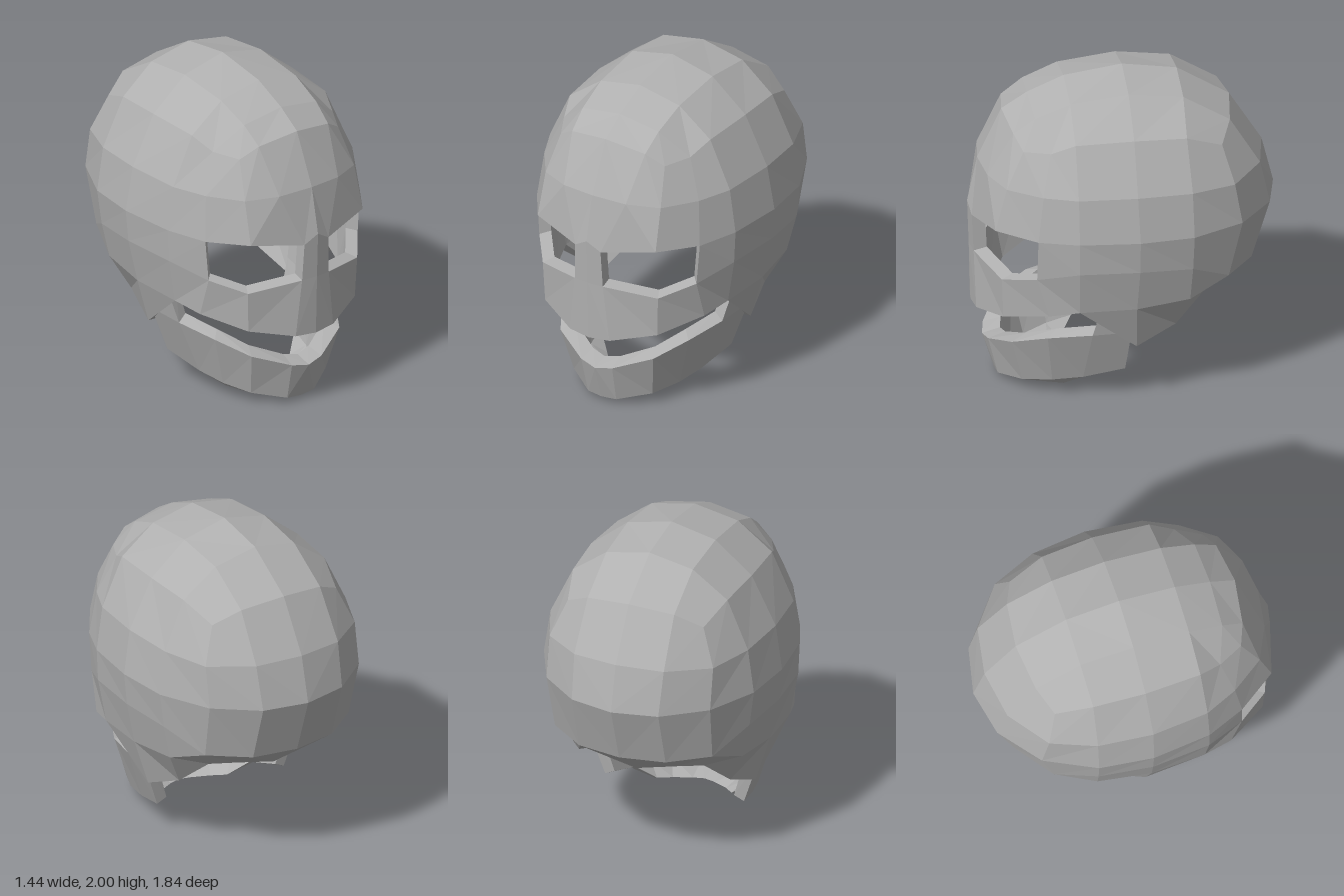
import * as THREE from 'three';

const bone = new THREE.MeshStandardMaterial({ color: 0xb0b0b0, flatShading: true });
bone.name = 'boneGrey';

// Faces of a grid of points; skip(row, column) leaves openings, repeated points collapse.
function gridFaces(rows, skip = () => false) {
  const faces = [];
  for (let i = 0; i + 1 < rows.length; i++) {
    for (let j = 0; j + 1 < rows[i].length; j++) {
      if (skip(i, j)) continue;
      const quad = [rows[i][j], rows[i + 1][j], rows[i + 1][j + 1], rows[i][j + 1]];
      const face = quad.filter((p, k) => quad.findIndex((q) => q.join() === p.join()) === k);
      if (face.length > 2) faces.push(face);
    }
  }
  return faces;
}

// Mesh from half of the faces (+x side), mirrored to the other side.
function mirroredMesh(name, faces) {
  const pos = [];
  for (const f of faces) {
    for (let k = 1; k + 1 < f.length; k++) {
      const tri = [f[0], f[k], f[k + 1]];
      tri.forEach((p) => pos.push(...p));
      [tri[0], tri[2], tri[1]].forEach(([x, y, z]) => pos.push(-x, y, z));
    }
  }
  const geo = new THREE.BufferGeometry();
  geo.setAttribute('position', new THREE.Float32BufferAttribute(pos, 3));
  geo.computeVertexNormals();
  const mesh = new THREE.Mesh(geo, bone);
  mesh.name = name;
  return mesh;
}

// Inner wall plus the rims along every open edge.
function liningFaces(faces, inset) {
  const edges = new Map();
  const lining = [];
  for (const f of faces) {
    lining.push(f.map(inset).reverse());
    f.forEach((a, k) => {
      const b = f[(k + 1) % f.length];
      edges.set(a.join() + '|' + b.join(), [a, b]);
    });
  }
  for (const [a, b] of edges.values()) {
    if (edges.has(b.join() + '|' + a.join()) || (a[0] === 0 && b[0] === 0)) continue;
    lining.push([b, a, inset(a), inset(b)]);
  }
  return lining;
}

export function createModel() {
  const group = new THREE.Group();
  group.name = 'skullMask';

  // Half rings from the front centre round the side to the back centre
  const crown = [[0, 1.755, 0.715], [0.26, 1.715, 0.68], [0.37, 1.645, 0.635], [0.45, 1.66, 0.48], [0.5, 1.73, 0.34],
    [0.52, 1.745, -0.01], [0.5, 1.73, -0.33], [0.44, 1.64, -0.55], [0.28, 1.725, -0.62], [0, 1.755, -0.655]];
  const forehead = [[0, 1.44, 0.86], [0.22, 1.43, 0.83], [0.41, 1.42, 0.74], [0.55, 1.42, 0.54], [0.64, 1.43, 0.34],
    [0.675, 1.44, -0.01], [0.64, 1.43, -0.345], [0.53, 1.415, -0.615], [0.29, 1.43, -0.8], [0, 1.44, -0.85]];
  const brow = [[0, 1.155, 0.92], [0.09, 1.1, 0.905], [0.42, 1.155, 0.81], [0.58, 1.14, 0.575], [0.68, 1.155, 0.34],
    [0.72, 1.16, -0.02], [0.68, 1.155, -0.35], [0.53, 1.155, -0.66], [0.28, 1.155, -0.86], [0, 1.155, -0.92]];
  const cheek = [[0, 0.87, 0.91], [0.1, 0.865, 0.895], [0.41, 0.82, 0.77], [0.56, 0.88, 0.58], [0.67, 0.95, 0.34],
    [0.7, 0.955, -0.02], [0.65, 0.93, -0.345], [0.51, 0.8, -0.58], [0.28, 0.795, -0.75], [0, 0.795, -0.8]];
  const lip = [[0, 0.495, 0.9], [0.14, 0.505, 0.885], [0.4, 0.565, 0.76], [0.57, 0.635, 0.51], [0.62, 0.67, 0.33],
    [0.64, 0.68, -0.01], [0.6, 0.705, -0.335], cheek[7], cheek[8], cheek[9]];
  const base = [...lip.slice(0, 5), [0.55, 0.385, -0.02], [0.49, 0.49, -0.265], [0.4, 0.655, -0.45],
    [0.24, 0.64, -0.5], [0, 0.6, -0.545]];

  // Top of the skull, back to front
  const cap = [
    [crown[9], crown[8], crown[7]],
    [[0, 1.95, -0.34], [0.28, 1.895, -0.34], crown[6]],
    [[0, 2, -0.01], [0.285, 1.935, -0.01], crown[5]],
    [[0, 1.95, 0.34], [0.28, 1.895, 0.34], crown[4]],
    [[0, 1.855, 0.56], [0.27, 1.81, 0.55], crown[3]],
    [crown[0], crown[1], crown[2]],
  ];
  const capFaces = gridFaces(cap);
  const domeFaces = gridFaces([crown, forehead, brow]);
  // Face and lower skull, with the eye openings left out
  const lowerFaces = gridFaces([brow, cheek, lip, base], (i, j) => i === 0 && (j === 1 || j === 2));
  const skullInset = ([x, y, z]) => [
    x * 0.91,
    y < 0.72 ? y : 1.03 + (y - 1.03) * 0.91,
    z * (y < 0.72 ? 0.86 : 0.91),
  ];
  group.add(
    mirroredMesh('skullCap', capFaces),
    mirroredMesh('skullDome', domeFaces),
    mirroredMesh('faceAndLowerSkull', lowerFaces),
    mirroredMesh('skullLining', liningFaces([...capFaces, ...domeFaces, ...lowerFaces], skullInset)),
  );

  // Lower jaw: upper edge, lower edge and underside from the chin to the back
  const jawTop = [[0, 0.255, 0.83], [0.11, 0.275, 0.81], [0.33, 0.355, 0.7], [0.45, 0.425, 0.5], [0.52, 0.46, 0.24],
    [0.55, 0.48, 0.01]];
  const jawBottom = [[0, 0.03, 0.76], [0.1, 0.035, 0.75], [0.28, 0.075, 0.63], [0.36, 0.1, 0.46], [0.4, 0.125, 0.28],
    [0.45, 0.19, 0.035]];
  const chinUnder = [[0, 0, 0.56], [0.08, 0, 0.54], [0.2, 0.01, 0.47], [0.28, 0.03, 0.38], jawBottom[4]];
  const ramusTop = [[0.565, 0.665, 0.19], [0.59, 0.68, -0.01]];
  const jawFaces = [
    ...gridFaces([jawTop, jawBottom]),
    ...gridFaces([jawBottom.slice(0, 5), chinUnder]),
    ...gridFaces([ramusTop, jawTop.slice(4)]),
  ];
  const jawInset = ([x, y, z]) => [x * 0.86, Math.min(y + 0.03, Math.max(y, 0.68)), z * 0.87];
  group.add(mirroredMesh('lowerJaw', jawFaces), mirroredMesh('jawLining', liningFaces(jawFaces, jawInset)));
  return group;
}
